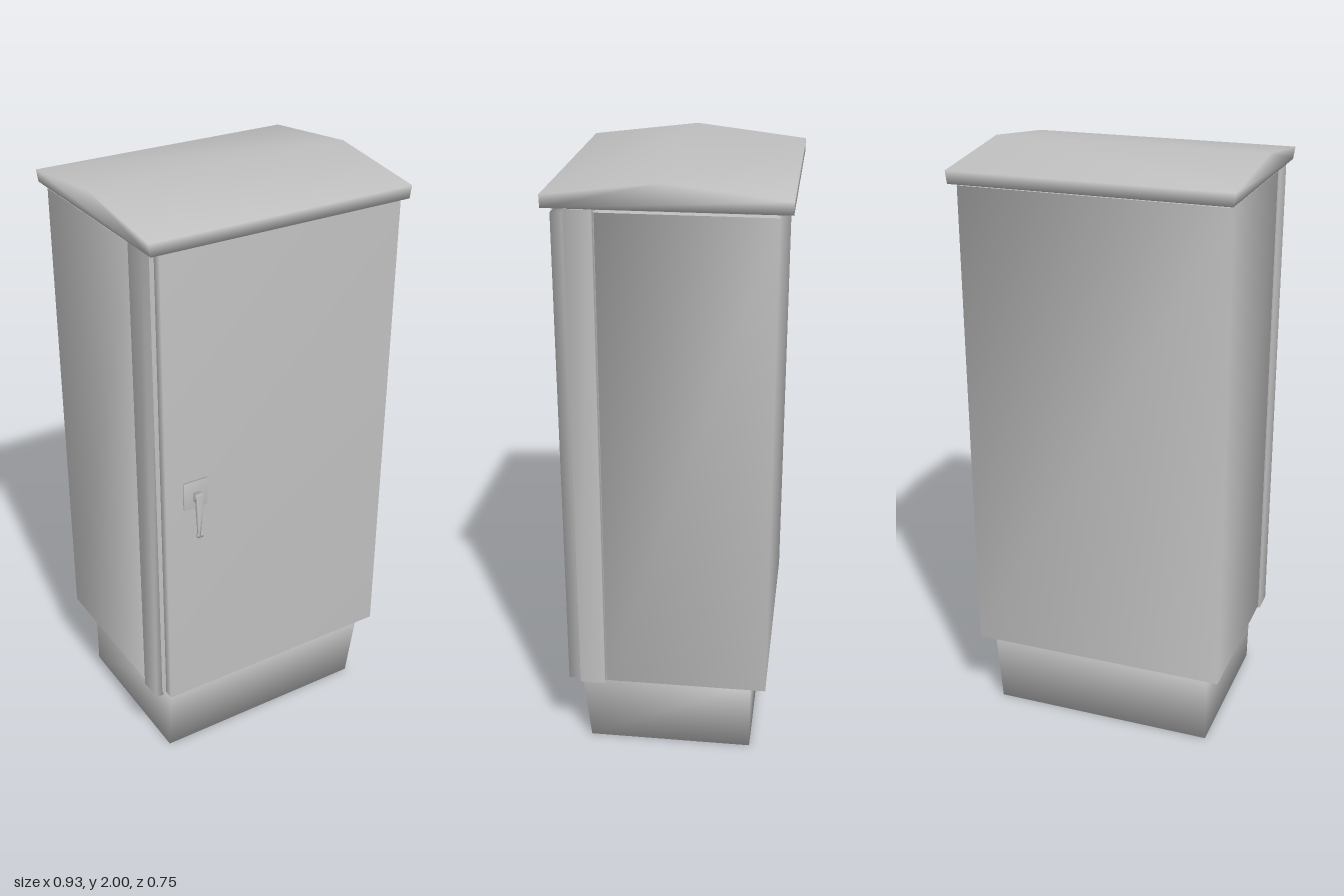
import * as THREE from 'three';

// Lofts one convex ring to another; rings run counter-clockwise seen from the end ring.
// softCaps shares the corner vertices, so the shading rolls over every edge.
function loft(start, end, softCaps) {
  const n = start.length;
  const points = [...start, ...end];
  if (!softCaps) points.push(...start, ...end);
  const capBase = softCaps ? 0 : 2 * n;
  const index = [];
  for (let i = 0; i < n; i++) {
    const j = (i + 1) % n;
    index.push(i, j, n + j, i, n + j, n + i);
  }
  for (let i = 1; i < n - 1; i++) {
    index.push(capBase, capBase + i + 1, capBase + i);
    index.push(capBase + n, capBase + n + i, capBase + n + i + 1);
  }
  const geometry = new THREE.BufferGeometry();
  geometry.setAttribute('position', new THREE.Float32BufferAttribute(points.flat(), 3));
  geometry.setIndex(index);
  geometry.computeVertexNormals();
  return geometry;
}

// Horizontal rectangle at height y
const rect = (x0, x1, z0, z1, y) => [[x0, y, z1], [x1, y, z1], [x1, y, z0], [x0, y, z0]];

const block = (x0, x1, y0, y1, z0, z1, soft) =>
  loft(rect(x0, x1, z0, z1, y0), rect(x0, x1, z0, z1, y1), soft);

export function createModel() {
  const model = new THREE.Group();
  model.name = 'streetCabinet';
  const grey = new THREE.MeshStandardMaterial({ color: 0xc0c0c0 });
  grey.name = 'grey metal';

  const add = (name, geometry, parent = model) => {
    const mesh = new THREE.Mesh(geometry, grey);
    mesh.name = name;
    parent.add(mesh);
    return mesh;
  };

  // Plinth, tapering on its front and one side
  add('plinth', loft(
    rect(-0.39, 0.388, -0.285, 0.275, 0),
    rect(-0.39, 0.41, -0.285, 0.298, 0.275), true));

  // Housing with rounded-looking walls and flat ends
  add('housing', block(-0.443, 0.443, 0.272, 1.903, -0.338, 0.205, false));

  // Recessed frame behind the door, and the collar that carries the roof
  add('doorFrame', block(-0.425, 0.425, 0.275, 1.9, 0.2, 0.3, false));
  add('roofCollar', block(-0.41, 0.41, 1.895, 1.92, -0.31, 0.28, false));

  // Corner posts beside the door
  for (const side of [-1, 1]) {
    const post = add(side > 0 ? 'leftPost' : 'rightPost',
      block(-0.014, 0.014, 0.262, 1.912, 0.212, 0.296, false));
    post.position.x = side * 0.434;
  }

  // Door leaf
  add('door', block(-0.413, 0.443, 0.274, 1.9, 0.302, 0.336, true));

  // Pitched roof, slightly wider at the top
  const roofRing = (side) => [
    [0.455, 1.915, 0.363], [0.455, 1.915, -0.378], [0.461, 1.956, -0.378],
    [0.463, 2, 0], [0.461, 1.956, 0.363],
  ].map(([x, y, z]) => [side * x, y, z]);
  add('roof', loft(roofRing(-1), roofRing(1), true));

  // Lock plate with a slim hanging lever
  const handle = new THREE.Group();
  handle.name = 'doorHandle';
  model.add(handle);
  add('lockPlate', block(-0.351, -0.266, 1.027, 1.125, 0.334, 0.344, true), handle);
  add('leverHub', block(-0.318, -0.294, 1.055, 1.085, 0.342, 0.366, true), handle);
  add('lever', loft(
    rect(-0.318, -0.311, 0.366, 0.376, 0.94),
    rect(-0.318, -0.293, 0.352, 0.366, 1.08), true), handle);
  add('leverTip', block(-0.32, -0.3, 0.93, 0.942, 0.364, 0.374, true), handle);

  return model;
}
